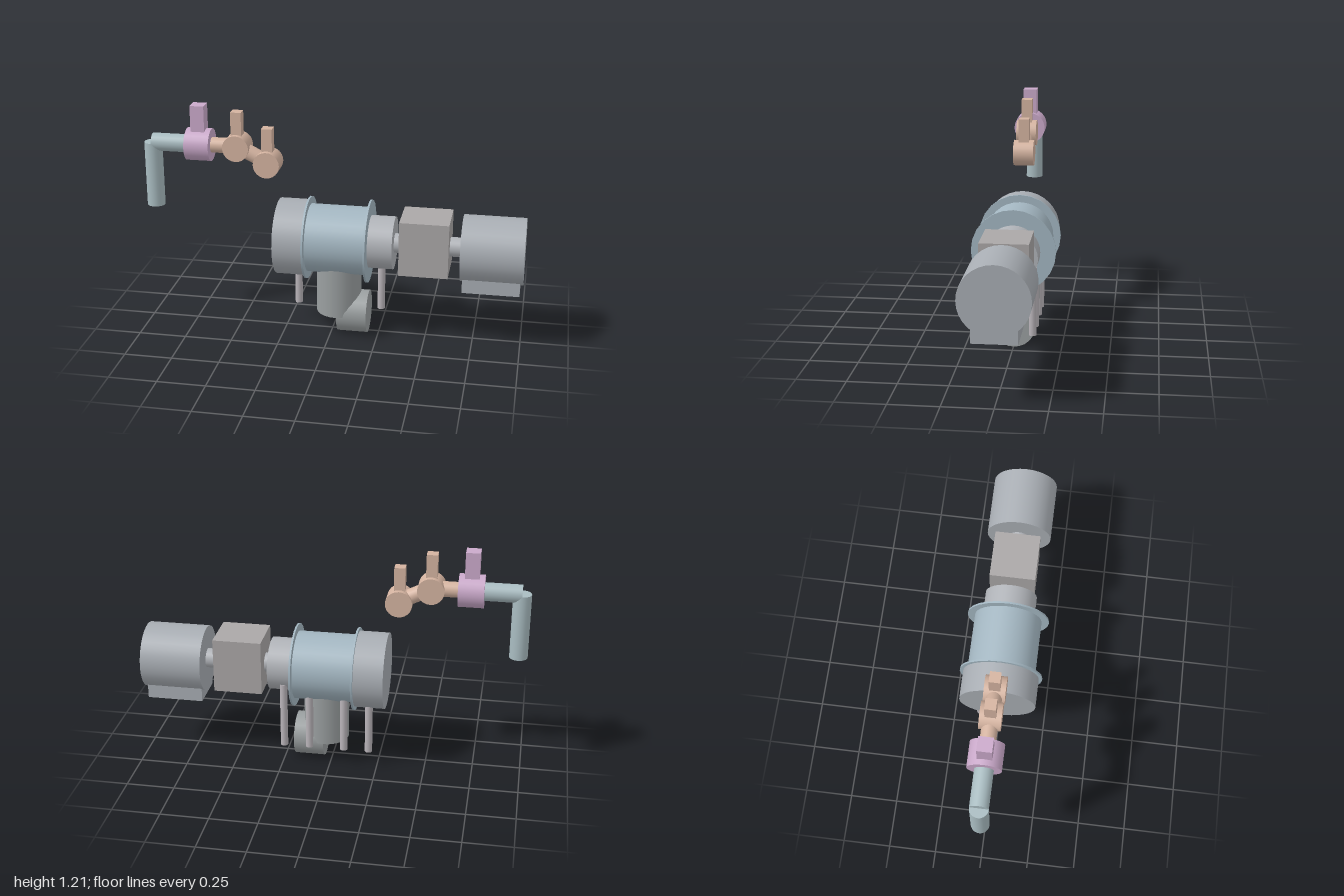
import * as THREE from 'three';

const mat = (color) => new THREE.MeshStandardMaterial({ color });
const steel = mat(0xa8adb3), blue = mat(0xa3b6c1), neckGrey = mat(0xb0b3b8), boxGrey = mat(0xaaa7a7);
const ductGrey = mat(0x9a9fa0), legGrey = mat(0xb9b4b9), pipeBlue = mat(0xa9bcc1);
const pink = mat(0xcaa9ca), tan = mat(0xd4b3a0);

const AXIS_Y = 0.517; // height of the drive shaft
const PIPE_Y = 0.997; // height of the feed line

export function createModel() {
  const model = new THREE.Group();

  // Cylinder running from point a to point b
  function rod(parent, name, material, r, a, b, sides = 24) {
    const from = new THREE.Vector3(...a), to = new THREE.Vector3(...b);
    const dir = to.clone().sub(from);
    const mesh = new THREE.Mesh(new THREE.CylinderGeometry(r, r, dir.length(), sides), material);
    mesh.position.copy(from).add(to).multiplyScalar(0.5);
    mesh.quaternion.setFromUnitVectors(new THREE.Vector3(0, 1, 0), dir.normalize());
    mesh.name = name;
    parent.add(mesh);
  }

  // Box given by its x and y ranges and its depth, centred on z = 0
  function block(parent, name, material, x0, x1, y0, y1, depth) {
    const mesh = new THREE.Mesh(new THREE.BoxGeometry(x1 - x0, y1 - y0, depth), material);
    mesh.position.set((x0 + x1) / 2, (y0 + y1) / 2, 0);
    mesh.name = name;
    parent.add(mesh);
  }

  const group = (name) => {
    const g = new THREE.Group();
    g.name = name;
    model.add(g);
    return g;
  };

  // Drive train: cylinders along the shaft
  const drive = group('driveTrain');
  const along = (name, material, r, x0, x1, sides = 32) =>
    rod(drive, name, material, r, [x0, AXIS_Y, 0], [x1, AXIS_Y, 0], sides);
  along('endHousing', steel, 0.2, -0.285, -0.125);
  along('barrel', blue, 0.179, -0.125, 0.195);
  for (const x of [-0.125, 0.195]) along('flange', blue, 0.218, x - 0.005, x + 0.005, 24);
  along('neck', neckGrey, 0.138, 0.195, 0.328);
  along('shaft', neckGrey, 0.051, 0.328, 0.685);
  block(drive, 'gearbox', boxGrey, 0.362, 0.617, 0.386, 0.677, 0.242);
  along('motor', steel, 0.173, 0.678, 1);
  block(drive, 'motorFoot', steel, 0.69, 0.985, 0.31, 0.4, 0.218);

  // Outlet duct turning from vertical to horizontal
  const outlet = group('outletDuct');
  rod(outlet, 'verticalDuct', ductGrey, 0.119, [0.035, 0.45, 0], [0.035, 0.115, 0]);
  rod(outlet, 'horizontalDuct', ductGrey, 0.113, [0.037, 0.115, 0], [0.195, 0.115, 0]);

  // Row of drain tubes behind the duct
  const drains = group('drainTubes');
  for (const x of [-0.205, -0.073, 0.11, 0.247])
    rod(drains, 'drainTube', legGrey, 0.02, [x, 0.09, -0.105], [x, 0.45, -0.105], 16);

  // Feed line: bent pipe with a straight valve
  const feed = group('feedLine');
  rod(feed, 'downPipe', pipeBlue, 0.047, [-0.953, 0.65, 0], [-0.953, PIPE_Y, 0]);
  rod(feed, 'crossPipe', pipeBlue, 0.047, [-0.953, PIPE_Y, 0], [-0.766, PIPE_Y, 0]);
  rod(feed, 'valveBody', pink, 0.085, [-0.766, PIPE_Y, 0], [-0.636, PIPE_Y, 0]);
  block(feed, 'valveActuator', pink, -0.738, -0.665, 1.03, 1.21, 0.074);

  // Two rotary joints, each with an upright actuator, linked by rods
  const joints = group('rotaryJoints');
  const centres = [[-0.5, PIPE_Y], [-0.34, 0.917]];
  rod(joints, 'inletLink', tan, 0.04, [-0.64, PIPE_Y, 0], [-0.5, PIPE_Y, 0]);
  rod(joints, 'jointLink', tan, 0.04, [...centres[0], 0], [...centres[1], 0]);
  for (const [x, y] of centres) {
    rod(joints, 'joint', tan, 0.069, [x, y, -0.054], [x, y, 0.054]);
    block(joints, 'jointActuator', tan, x - 0.028, x + 0.028, y + 0.03, y + 0.187, 0.056);
  }
  return model;
}
